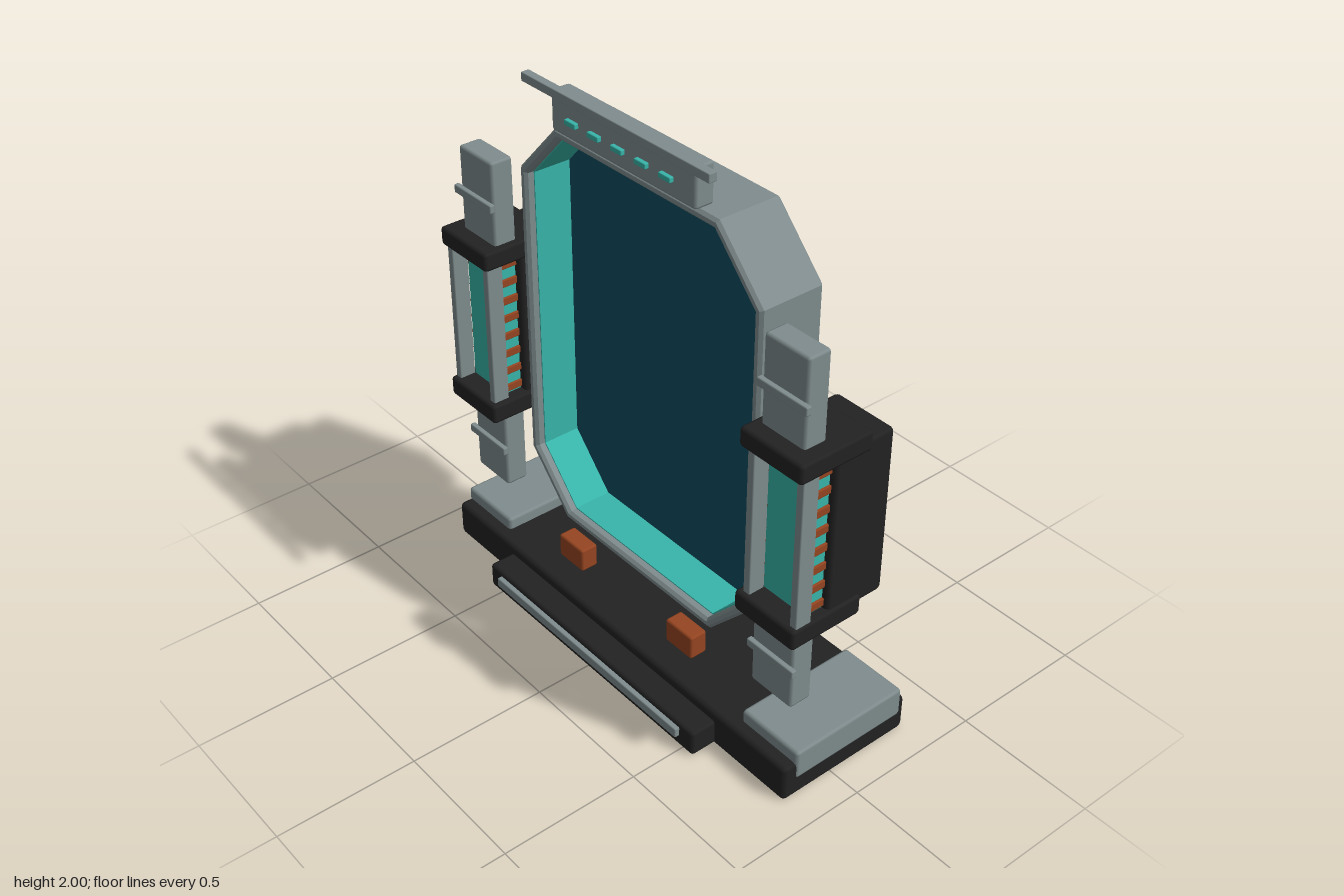
import * as THREE from 'three';
import { RoundedBoxGeometry } from 'three/addons/geometries/RoundedBoxGeometry.js';

const material = (name, color) => {
  const m = new THREE.MeshStandardMaterial({ color });
  m.name = name;
  return m;
};

export function createModel() {
  const steel = material('steel grey', 0x7f8c8d);
  const black = material('soft black', 0x222222);
  const teal = material('glowing teal', 0x38b5aa);
  const screenBlue = material('deep blue glass', 0x0f4c5f);
  const copper = material('copper', 0x964521);

  const model = new THREE.Group();
  model.name = 'portalGate';

  // Box given by its limits on each axis, with a small edge bevel
  const box = (parent, name, mat, [x0, x1], [y0, y1], [z0, z1], bevel = 0.008) => {
    const size = [x1 - x0, y1 - y0, z1 - z0];
    const geometry = bevel
      ? new RoundedBoxGeometry(...size, 1, bevel)
      : new THREE.BoxGeometry(...size);
    const mesh = new THREE.Mesh(geometry, mat);
    mesh.name = name;
    mesh.position.set((x0 + x1) / 2, (y0 + y1) / 2, (z0 + z1) / 2);
    parent.add(mesh);
    return mesh;
  };

  // Eight-sided gate outline, inset by d
  const outline = (d) => {
    const k = d * Math.tan(Math.PI / 8);
    const w = 0.573 - d, h = 0.752 - d, cx = 0.378 - k, cy = 0.545 - k;
    return [[w, -cy], [w, cy], [cx, h], [-cx, h], [-w, cy], [-w, -cy], [-cx, -h], [cx, -h]]
      .map(([x, y]) => new THREE.Vector2(x, y));
  };
  const slab = (name, mat, outer, inner, z0, z1, bevel) => {
    const shape = new THREE.Shape(outline(outer));
    if (inner) shape.holes.push(new THREE.Path(outline(inner).reverse()));
    const geometry = new THREE.ExtrudeGeometry(shape, {
      depth: z1 - z0 - 2 * bevel, bevelEnabled: bevel > 0, bevelSegments: 1,
      bevelSize: bevel, bevelThickness: bevel, bevelOffset: -bevel,
    });
    const mesh = new THREE.Mesh(geometry, mat);
    mesh.name = name;
    mesh.position.set(0, 1.058, z0 + bevel);
    model.add(mesh);
  };

  // Gate frame, its lit lining and the glass
  slab('gateFrame', steel, 0, 0.034, -0.155, 0.087, 0.01);
  slab('gateLining', teal, 0.03, 0.038, -0.1, 0.055, 0);
  slab('gateGlass', screenBlue, 0.034, 0, -0.095, -0.085, 0);

  // Base with front step and trim strip
  box(model, 'base', black, [-0.882, 0.882], [0, 0.135], [-0.322, 0.208], 0.016);
  box(model, 'frontStep', black, [-0.555, 0.555], [0.005, 0.1], [0.1, 0.302], 0.012);
  box(model, 'stepTrim', steel, [-0.49, 0.49], [0.048, 0.084], [0.295, 0.32], 0.004);

  // Header plate, its lights and the bar above
  box(model, 'headerPlate', steel, [-0.333, 0.333], [1.834, 1.97], [0.058, 0.128], 0.01);
  box(model, 'headerBar', steel, [-0.43, 0.43], [1.97, 2], [0.135, 0.165], 0.003);
  for (let i = -2; i <= 2; i++) {
    const x = i * 0.109;
    box(model, 'headerLight', teal, [x - 0.026, x + 0.026], [1.89, 1.908], [0.132, 0.148], 0.003);
  }

  for (const side of [1, -1]) {
    const tower = new THREE.Group();
    tower.name = side > 0 ? 'leftTower' : 'rightTower';
    model.add(tower);
    // Limits are written for +x and mirrored for the other side
    const add = (name, mat, [x0, x1], y, z, bevel) =>
      box(tower, name, mat, side > 0 ? [x0, x1] : [-x1, -x0], y, z, bevel);

    add('basePad', steel, [0.63, 0.886], [0.07, 0.18], [-0.3, 0.16], 0.012);
    add('copperFoot', copper, [0.225, 0.355], [0.185, 0.275], [0.073, 0.14]);

    // Posts with a thin strap across each
    for (const [y0, y1, strapY] of [[0.32, 0.66, 0.475], [1.26, 1.6, 1.44]]) {
      add('post', steel, [0.648, 0.828], [y0, y1], [0.06, 0.145], 0.01);
      add('postStrap', steel, [0.64, 0.845], [strapY - 0.015, strapY + 0.015], [0.142, 0.162], 0.004);
    }

    // Rear housing and end caps
    add('rearHousing', black, [0.635, 0.872], [0.66, 1.26], [-0.172, 0.056], 0.014);
    add('lowerCap', black, [0.622, 0.882], [0.622, 0.695], [-0.075, 0.205], 0.012);
    add('upperCap', black, [0.622, 0.882], [1.228, 1.297], [-0.075, 0.205], 0.012);

    // Lit core between two rails, wrapped by copper bands
    add('core', teal, [0.668, 0.846], [0.68, 1.24], [0.05, 0.125], 0);
    add('innerRail', steel, [0.642, 0.67], [0.68, 1.24], [0.125, 0.186], 0.004);
    add('outerRail', steel, [0.846, 0.874], [0.68, 1.24], [0.125, 0.186], 0.004);
    for (let i = 0; i < 8; i++) {
      const y = 0.718 + i * 0.0695;
      add('copperBand', copper, [0.66, 0.854], [y - 0.014, y + 0.014], [0.052, 0.122], 0.003);
    }
  }
  return model;
}
